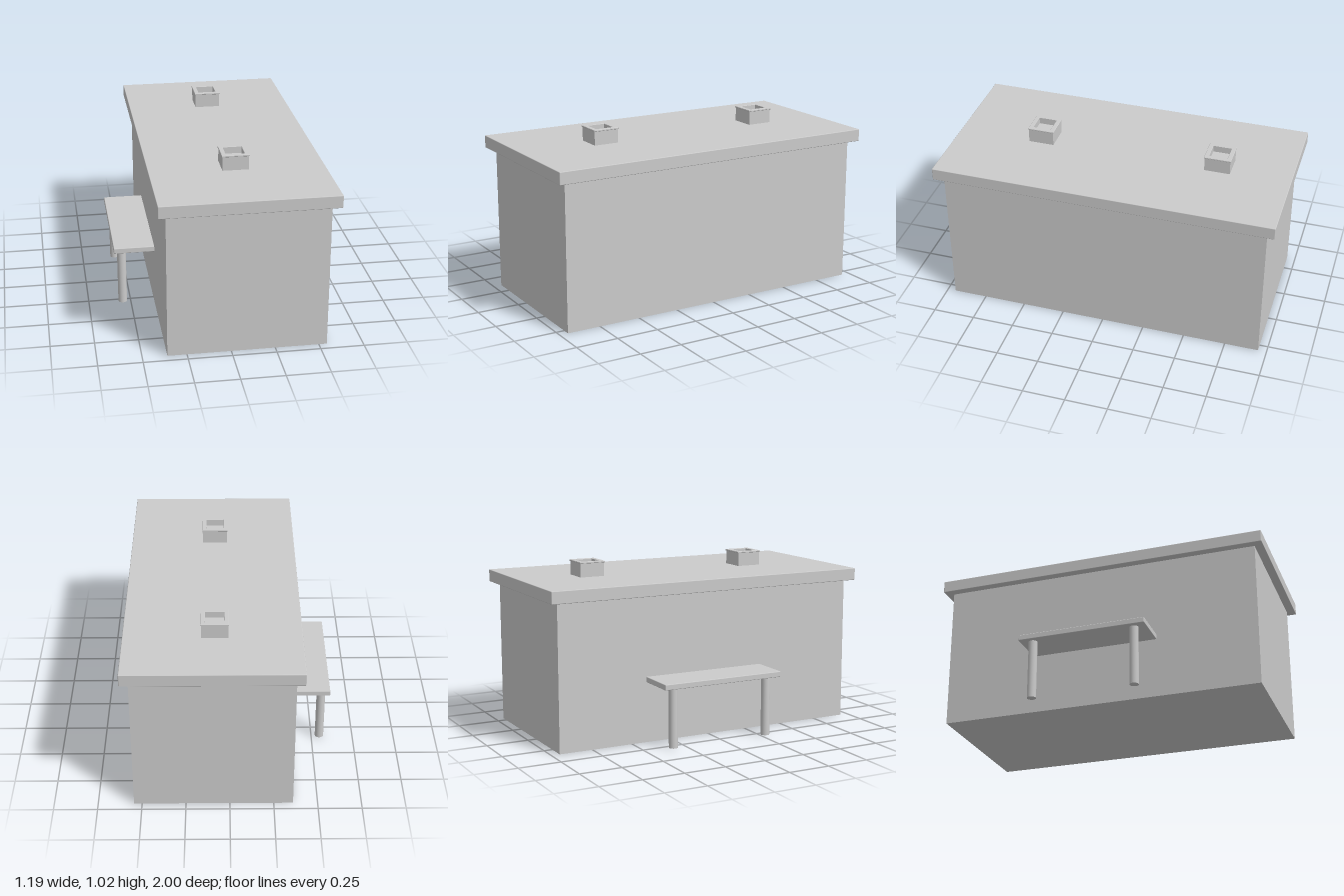
import * as THREE from 'three';
import { RoundedBoxGeometry } from 'three/addons/geometries/RoundedBoxGeometry.js';

const material = new THREE.MeshStandardMaterial({ color: 0xcccccc });

function add(parent, name, geometry, x, y, z) {
  const mesh = new THREE.Mesh(geometry, material);
  mesh.name = name;
  mesh.position.set(x, y, z);
  parent.add(mesh);
  return mesh;
}

// Square tube standing on y = 0
function squareTube(outer, inner, height, bevel = 0) {
  const o = outer / 2 - bevel, i = inner / 2 + bevel;
  const shape = new THREE.Shape([[-o, -o], [o, -o], [o, o], [-o, o]].map(p => new THREE.Vector2(...p)));
  shape.holes.push(new THREE.Path([[-i, -i], [-i, i], [i, i], [i, -i]].map(p => new THREE.Vector2(...p))));
  return new THREE.ExtrudeGeometry(shape, {
    depth: height - 2 * bevel, bevelEnabled: bevel > 0,
    bevelSize: bevel, bevelThickness: bevel, bevelSegments: 1,
  }).translate(0, 0, bevel).rotateX(-Math.PI / 2);
}

export function createModel() {
  const model = new THREE.Group();
  model.name = 'building';

  // Main block and overhanging roof slab
  add(model, 'walls', new THREE.BoxGeometry(0.906, 0.86, 1.9), 0.093, 0.43, 0);
  add(model, 'roofSlab', new RoundedBoxGeometry(0.998, 0.073, 2, 2, 0.004), 0.093, 0.8935, 0);

  // Hollow chimneys with a thin lip
  for (const z of [-0.573, 0.489]) {
    const chimney = new THREE.Group();
    chimney.name = 'chimney';
    chimney.position.set(0.082, 0.93, z);
    add(chimney, 'chimneyStack', squareTube(0.15, 0.107, 0.082), 0, 0, 0);
    add(chimney, 'chimneyLip', squareTube(0.158, 0.107, 0.01, 0.002), 0, 0.08, 0);
    add(chimney, 'chimneyFloor', new THREE.BoxGeometry(0.11, 0.05, 0.11), 0, 0.025, 0);
    model.add(chimney);
  }

  // Side canopy carried by two round posts
  const canopy = new THREE.Group();
  canopy.name = 'canopy';
  canopy.position.z = -0.027;
  add(canopy, 'canopySlab', new RoundedBoxGeometry(0.247, 0.033, 0.758, 2, 0.004), -0.4735, 0.3705, 0);
  for (const side of [-1, 1]) {
    add(canopy, 'canopyPost', new THREE.CylinderGeometry(0.026, 0.026, 0.352, 24), -0.548, 0.181, side * 0.305);
  }
  model.add(canopy);

  return model;
}
